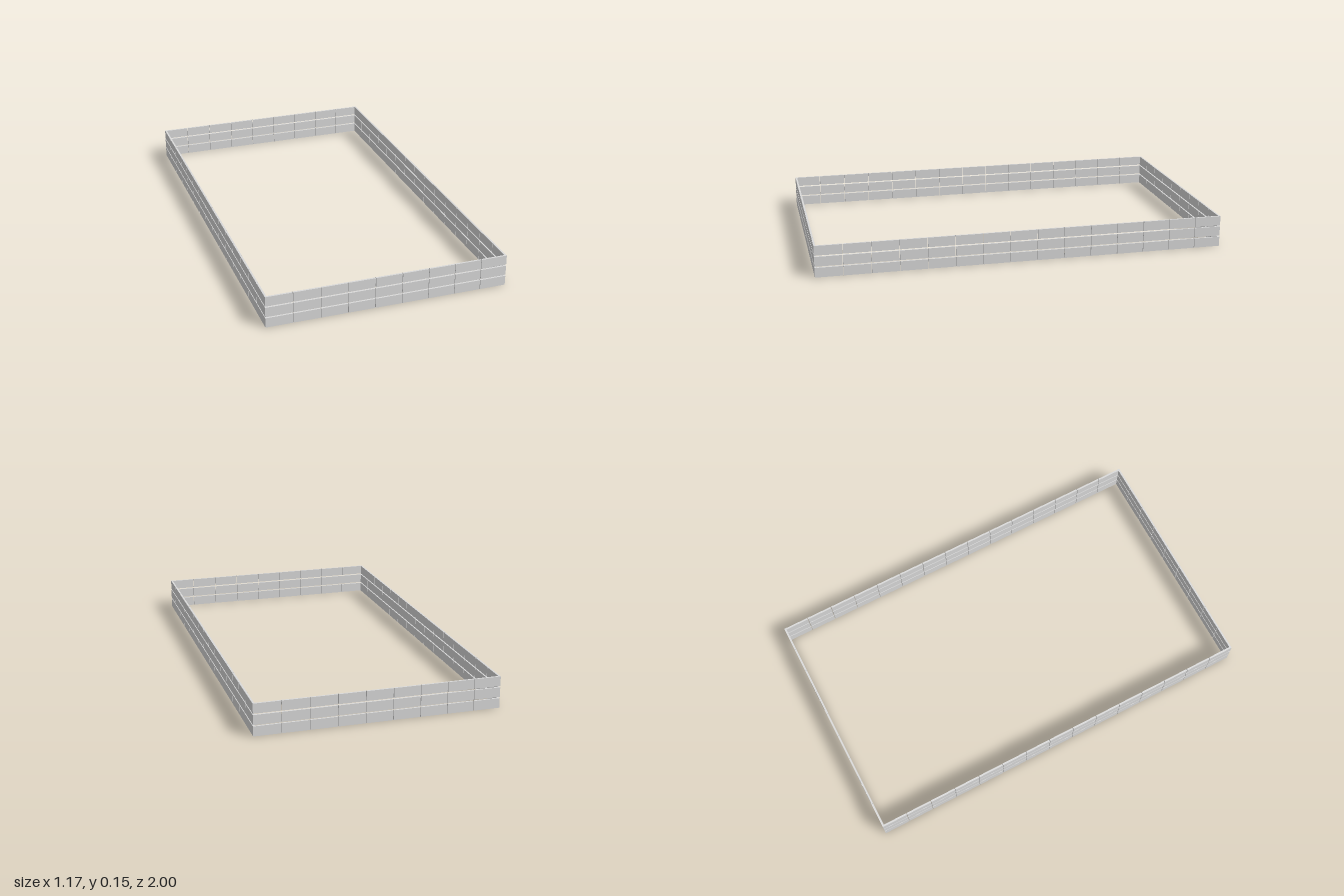
import * as THREE from 'three';

const W = 1.174, L = 2, ROWS = 3, H = 0.0475, ROW_PITCH = 0.0537;
const DEPTH = 0.009, GAP = 0.0028;

export function createModel() {
  const group = new THREE.Group();
  const panelMat = new THREE.MeshStandardMaterial({ color: 0xdadada });
  panelMat.name = 'light grey panel';

  // straight wall of thin panels in three rows, running along x
  function wall(name, length, count) {
    const g = new THREE.Group();
    g.name = name;
    const pitch = (length + GAP) / count;
    const panelGeo = new THREE.BoxGeometry(pitch - GAP, H, DEPTH);
    for (let r = 0; r < ROWS; r++) {
      for (let i = 0; i < count; i++) {
        const panel = new THREE.Mesh(panelGeo, panelMat);
        panel.name = 'panel';
        panel.position.set((i - (count - 1) / 2) * pitch, H / 2 + r * ROW_PITCH, 0);
        g.add(panel);
      }
    }
    group.add(g);
    return g;
  }

  // four walls around the open rectangle
  for (const s of [1, -1]) {
    const end = wall(s > 0 ? 'frontWall' : 'backWall', W, 9);
    end.position.z = s * (L - DEPTH) / 2;
    const side = wall(s > 0 ? 'leftWall' : 'rightWall', L, 15);
    side.position.x = s * (W - DEPTH) / 2;
    side.rotation.y = s * Math.PI / 2;
  }
  return group;
}
